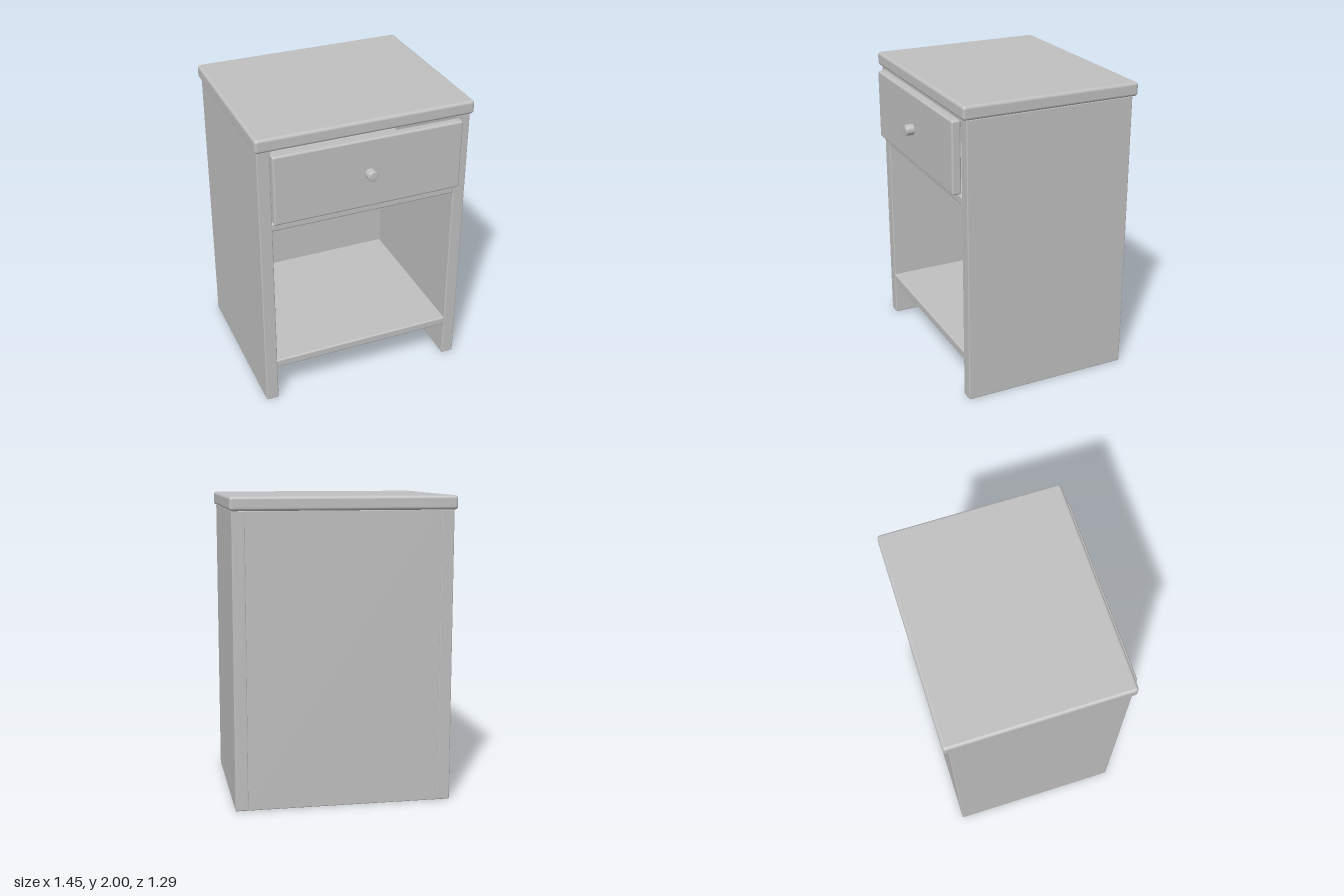
import * as THREE from 'three';
import { RoundedBoxGeometry } from 'three/addons/geometries/RoundedBoxGeometry.js';

export function createModel() {
  const group = new THREE.Group();
  group.name = 'nightstand';
  const paint = new THREE.MeshStandardMaterial({ color: 0xc0c0c0 });
  paint.name = 'greyPaint';

  // Rounded board given by its minimum and maximum corners
  function board(name, [x0, y0, z0], [x1, y1, z1], radius) {
    const geometry = new RoundedBoxGeometry(x1 - x0, y1 - y0, z1 - z0, 3, radius);
    geometry.translate((x0 + x1) / 2, (y0 + y1) / 2, (z0 + z1) / 2);
    const mesh = new THREE.Mesh(geometry, paint);
    mesh.name = name;
    group.add(mesh);
  }

  // Overhanging top
  board('top', [-0.725, 1.91, -0.647], [0.725, 2, 0.557], 0.02);

  // Side panels reaching the floor
  board('leftSide', [0.625, 0, -0.615], [0.71, 1.912, 0.53], 0.008);
  board('rightSide', [-0.71, 0, -0.615], [-0.625, 1.912, 0.53], 0.008);

  // Back panel and the two shelves
  board('backPanel', [-0.63, 0, -0.613], [0.63, 1.912, -0.57], 0.006);
  board('lowerShelf', [-0.63, 0.26, -0.612], [0.63, 0.32, 0.53], 0.012);
  board('upperShelf', [-0.63, 1.34, -0.612], [0.63, 1.4, 0.53], 0.012);

  // Overlaid drawer front
  board('drawerFront', [-0.632, 1.418, 0.53], [0.632, 1.892, 0.592], 0.014);

  // Round knob with softened rim
  const profile = [[0.036, 0], [0.036, 0.045], [0.034, 0.051], [0.029, 0.056], [0, 0.056]]
    .map(([r, h]) => new THREE.Vector2(r, h));
  const knob = new THREE.Mesh(new THREE.LatheGeometry(profile, 32), paint);
  knob.name = 'knob';
  knob.rotation.x = Math.PI / 2;
  knob.position.set(0, 1.655, 0.591);
  group.add(knob);

  return group;
}
